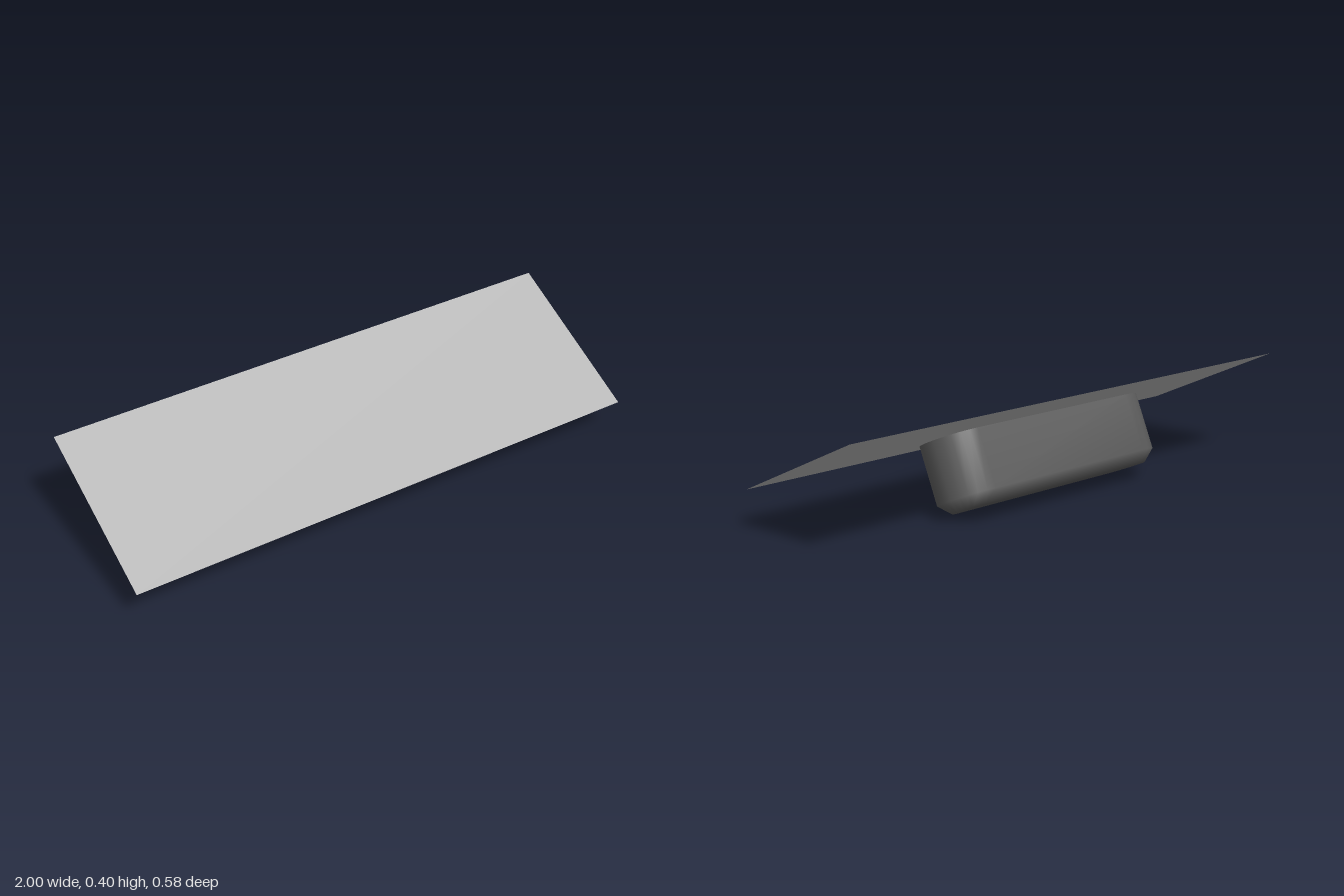
import * as THREE from 'three';

const panelGrey = new THREE.MeshStandardMaterial({ color: 0xb4b4b4, side: THREE.DoubleSide });
panelGrey.name = 'light grey panel';
const baseGrey = new THREE.MeshStandardMaterial({ color: 0x5c5c5c });
baseGrey.name = 'dark grey base';

// Horizontal stadium outline: two half circles joined by straight sides
function stadium(radius, y, halfStraight, segments = 12) {
  const points = [];
  for (const side of [1, -1]) {
    for (let i = 0; i <= segments; i++) {
      const a = (i / segments - 0.5) * Math.PI;
      points.push([side * (halfStraight + radius * Math.cos(a)), y, side * radius * Math.sin(a)]);
    }
  }
  return points;
}

// Rounded body lofted from the small bottom ring to the top ring, then capped
function bodyGeometry() {
  const straight = 0.359;
  const rings = [
    stadium(0.085, -0.022, straight),
    stadium(0.128, 0.0195, straight),
    stadium(0.128, 0.231, straight),
    stadium(0.128, 0.231, straight), // repeated so the top rim stays sharp
  ];
  const n = rings[0].length;
  const vertices = [...rings.flat(), [0, -0.022, 0], [0, 0.231, 0]];
  const bottom = 4 * n, top = bottom + 1;
  const index = [];
  for (let i = 0; i < n; i++) {
    const j = (i + 1) % n;
    for (let r = 0; r < 2; r++) {
      const a = r * n + i, b = r * n + j;
      index.push(a, a + n, b, b, a + n, b + n);
    }
    index.push(bottom, i, j, top, 3 * n + j, 3 * n + i);
  }
  const geometry = new THREE.BufferGeometry();
  geometry.setAttribute('position', new THREE.Float32BufferAttribute(vertices.flat(), 3));
  geometry.setIndex(index);
  geometry.computeVertexNormals();
  return geometry;
}

export function createModel() {
  const model = new THREE.Group();
  model.name = 'tiltedPanel';

  // Everything leans forward together
  const tilt = new THREE.Group();
  tilt.name = 'tiltedAssembly';
  tilt.rotation.x = THREE.MathUtils.degToRad(24.7);
  model.add(tilt);

  // Flat sheet
  const panel = new THREE.Mesh(new THREE.PlaneGeometry(2, 0.64).rotateX(-Math.PI / 2), panelGrey);
  panel.name = 'panel';
  panel.position.set(0, 0.2462, -0.1133);
  tilt.add(panel);

  // Rounded mount underneath
  const base = new THREE.Mesh(bodyGeometry(), baseGrey);
  base.name = 'base';
  base.position.set(-0.0015, 0, -0.1335);
  tilt.add(base);

  return model;
}
